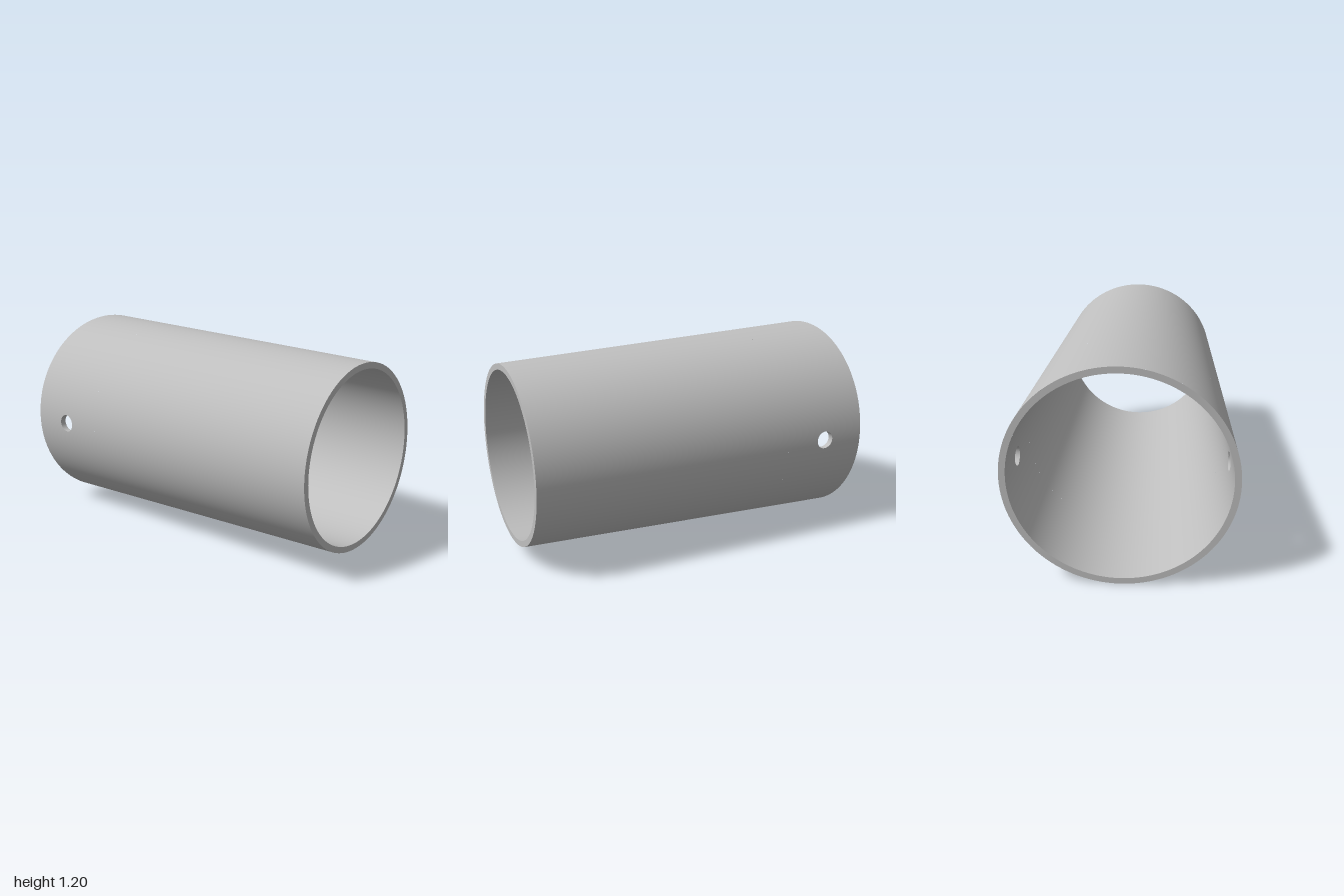
import * as THREE from 'three';
import { mergeGeometries } from 'three/addons/utils/BufferGeometryUtils.js';

const CENTER_Y = 0.6;
const HOLE = { x: -0.745, radius: 0.052 };
const WINDOW = { halfX: 0.255, halfAngle: 0.2 };
const WALL = 0.034;
const SLOPE = (0.513 - 0.599) / 2;

const outerRadius = (x) => 0.556 + SLOPE * x;
const innerRadius = (x) => outerRadius(x) - WALL;

// Point on a cone; angle 0 faces +z, a quarter turn faces up
const conePoint = (x, a, radius) =>
  new THREE.Vector3(x, radius(x) * Math.sin(a), radius(x) * Math.cos(a));
const coneNormal = (a, side) =>
  new THREE.Vector3(-SLOPE, Math.sin(a), Math.cos(a)).normalize().multiplyScalar(side);

// Grid surface from a rule giving [point, normal]; triangles wind to face the normal
function surface(rule, nu, nv) {
  const points = [], normals = [], index = [];
  for (let i = 0; i <= nu; i++) {
    for (let j = 0; j <= nv; j++) {
      const [p, n] = rule(i / nu, j / nv);
      points.push(p);
      normals.push(n);
    }
  }
  const face = (a, b, c) => {
    const cross = points[b].clone().sub(points[a]).cross(points[c].clone().sub(points[a]));
    if (cross.dot(normals[a]) < 0) index.push(a, c, b);
    else index.push(a, b, c);
  };
  for (let i = 0; i < nu; i++) {
    for (let j = 0; j < nv; j++) {
      const a = i * (nv + 1) + j, b = a + nv + 1;
      face(a, b, b + 1);
      face(a, b + 1, a + 1);
    }
  }
  const g = new THREE.BufferGeometry();
  g.setAttribute('position', new THREE.Float32BufferAttribute(points.flatMap((p) => p.toArray()), 3));
  g.setAttribute('normal', new THREE.Float32BufferAttribute(normals.flatMap((n) => n.toArray()), 3));
  g.setIndex(index);
  return g;
}

// Plain stretch of cone between two stations and two angles
function coneBand(x0, x1, a0, a1, radius, side, steps) {
  return surface((u, v) => {
    const x = x0 + (x1 - x0) * u, a = a0 + (a1 - a0) * v;
    return [conePoint(x, a, radius), coneNormal(a, side)];
  }, 2, steps);
}

// Station and angle on the rim of a drilled hole
function holeRim(t, facing, radius) {
  const x = HOLE.x + HOLE.radius * Math.cos(t);
  return [x, facing + Math.asin(HOLE.radius * Math.sin(t) / radius(x))];
}

// Rectangular patch of cone with the round hole in its middle
function holePatch(facing, radius, side) {
  return surface((u, v) => {
    const t = v * Math.PI * 2, c = Math.cos(t), s = Math.sin(t);
    const reach = 1 / Math.max(Math.abs(c), Math.abs(s));
    const [hx, ha] = holeRim(t, facing, radius);
    const x = THREE.MathUtils.lerp(hx, HOLE.x + WINDOW.halfX * c * reach, u);
    const a = THREE.MathUtils.lerp(ha, facing + WINDOW.halfAngle * s * reach, u);
    return [conePoint(x, a, radius), coneNormal(a, side)];
  }, 6, 64);
}

// One skin of the tube, with a hole at the front and the back
function skin(radius, side) {
  const { halfX, halfAngle: h } = WINDOW;
  const split = HOLE.x + halfX;
  const parts = [coneBand(split, 1, 0, Math.PI * 2, radius, side, 160)];
  for (const facing of [0, Math.PI]) {
    parts.push(coneBand(-1, split, facing + h, facing + Math.PI - h, radius, side, 80));
    parts.push(holePatch(facing, radius, side));
  }
  return mergeGeometries(parts);
}

// Flat ring closing the wall at one end
function endRing(x) {
  return surface((u, v) => {
    const a = v * Math.PI * 2;
    const p = conePoint(x, a, innerRadius).lerp(conePoint(x, a, outerRadius), u);
    return [p, new THREE.Vector3(Math.sign(x), 0, 0)];
  }, 1, 160);
}

// Cylindrical wall of a hole, through the tube thickness
function holeWall(facing) {
  return surface((u, v) => {
    const t = v * Math.PI * 2;
    const inner = conePoint(...holeRim(t, facing, innerRadius), innerRadius);
    const outer = conePoint(...holeRim(t, facing, outerRadius), outerRadius);
    const up = Math.cos(facing);
    return [inner.lerp(outer, u), new THREE.Vector3(-Math.cos(t), -Math.sin(t) * up, 0)];
  }, 1, 64);
}

export function createModel() {
  const metal = new THREE.MeshStandardMaterial({ color: 0xbfbfbf });
  metal.name = 'light grey';

  const model = new THREE.Group();
  model.name = 'taperedSleeve';
  const add = (name, geometry) => {
    const mesh = new THREE.Mesh(geometry, metal);
    mesh.name = name;
    mesh.position.y = CENTER_Y;
    model.add(mesh);
  };

  add('outerSkin', skin(outerRadius, 1));
  add('innerSkin', skin(innerRadius, -1));
  add('wideEndRing', endRing(-1));
  add('narrowEndRing', endRing(1));
  add('frontHoleWall', holeWall(0));
  add('backHoleWall', holeWall(Math.PI));
  return model;
}
